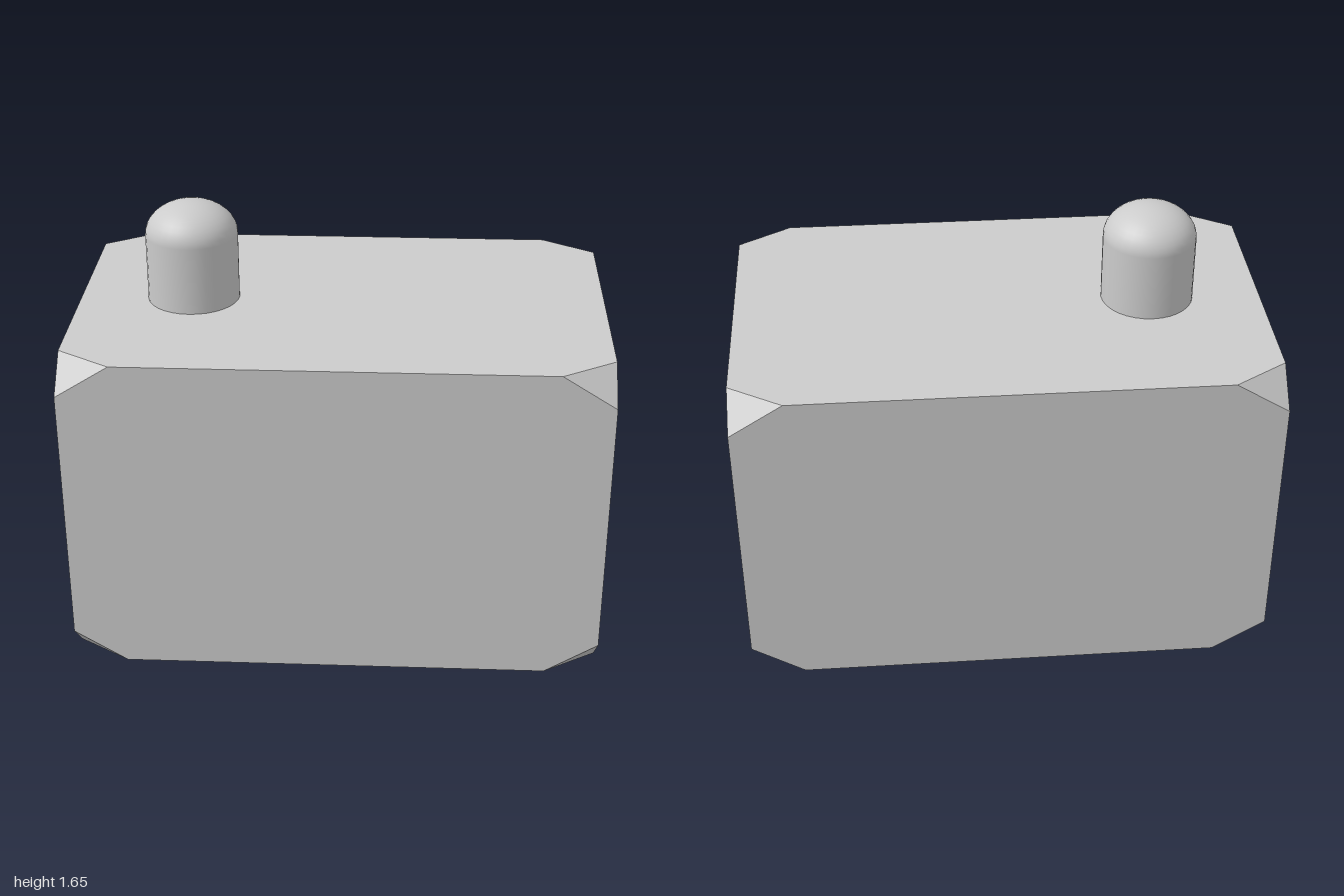
import * as THREE from 'three';
import { ConvexGeometry } from 'three/addons/geometries/ConvexGeometry.js';

const W = 1, H = 0.631, D = 0.631; // half sizes of the body
const CUT = 0.2;                   // corner cut as a share of each half size

export function createModel() {
  const model = new THREE.Group();
  model.name = 'blockWithKnob';
  const grey = new THREE.MeshStandardMaterial({ color: 0xcccccc });
  const flatGrey = new THREE.MeshStandardMaterial({ color: 0xcccccc, flatShading: true });

  // Block with all eight corners cut off: three points around each corner
  const points = [];
  const k = 1 - CUT;
  for (const x of [-W, W]) for (const y of [-H, H]) for (const z of [-D, D]) {
    points.push(
      new THREE.Vector3(x * k, y, z),
      new THREE.Vector3(x, y * k, z),
      new THREE.Vector3(x, y, z * k),
    );
  }
  const body = new THREE.Mesh(new ConvexGeometry(points), flatGrey);
  body.name = 'body';
  body.position.y = H;
  model.add(body);

  // Upright knob: straight shaft with a flattened dome
  const knob = new THREE.Group();
  knob.name = 'knob';
  knob.position.set(-0.57, 2 * H, 0);
  const radius = 0.175, shaftHeight = 0.26, domeHeight = 0.126;

  const shaft = new THREE.Mesh(
    new THREE.CylinderGeometry(radius, radius, shaftHeight, 32, 1, true), grey);
  shaft.name = 'knobShaft';
  shaft.position.y = shaftHeight / 2;

  const dome = new THREE.Mesh(
    new THREE.SphereGeometry(radius, 32, 10, 0, Math.PI * 2, 0, Math.PI / 2)
      .scale(1, domeHeight / radius, 1), grey);
  dome.name = 'knobDome';
  dome.position.y = shaftHeight;

  knob.add(shaft, dome);
  model.add(knob);
  return model;
}
